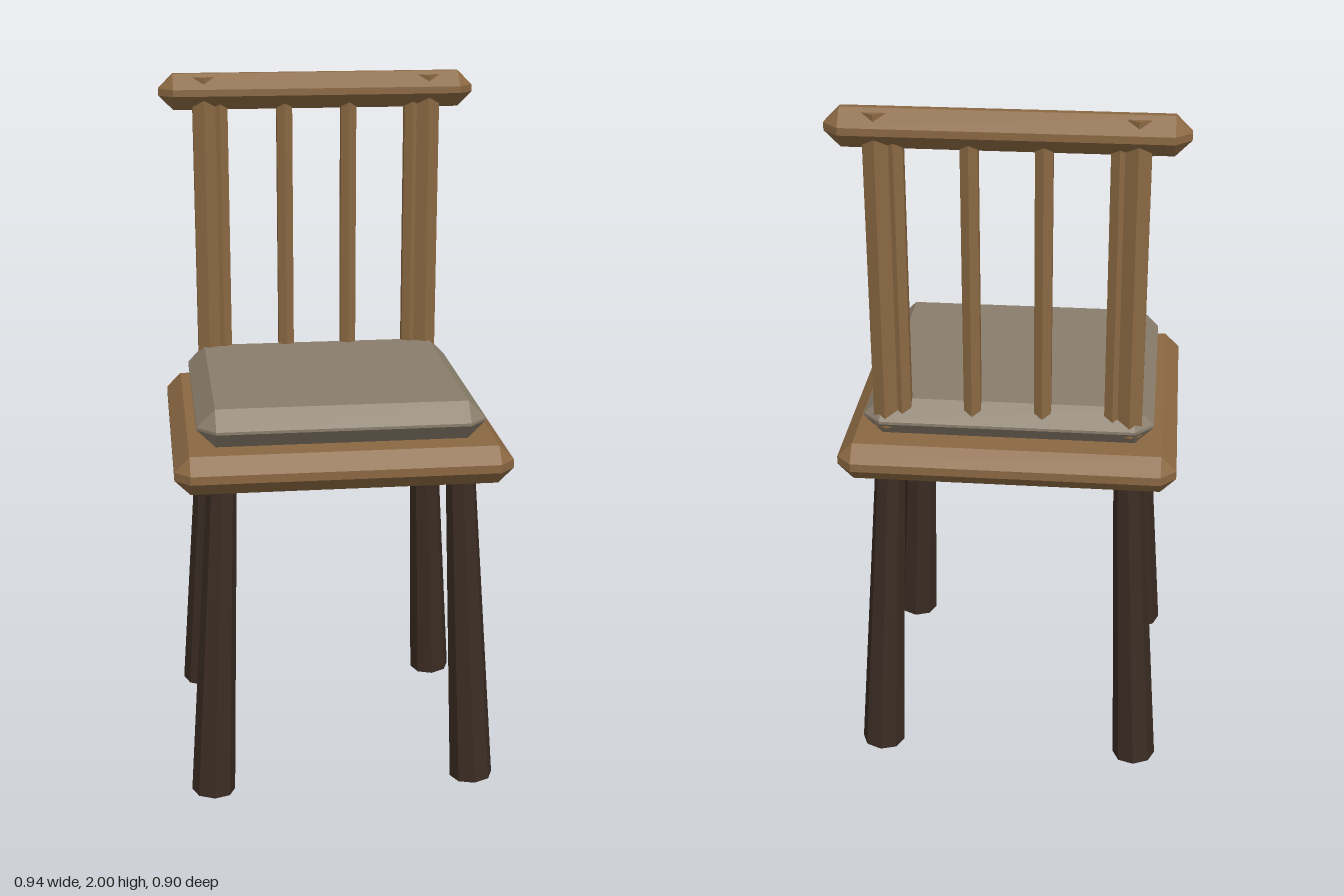
import * as THREE from 'three';
import { ConvexGeometry } from 'three/addons/geometries/ConvexGeometry.js';

const mat = (color) => new THREE.MeshStandardMaterial({ color, flatShading: true });

// Box with every edge chamfered by c
function chamferBox(w, h, d, c) {
  const half = [w / 2, h / 2, d / 2];
  const points = [];
  for (let axis = 0; axis < 3; axis++) {
    for (const sx of [-1, 1]) for (const sy of [-1, 1]) for (const sz of [-1, 1]) {
      const p = half.map((v, i) => (i === axis ? v : v - c));
      points.push(new THREE.Vector3(sx * p[0], sy * p[1], sz * p[2]));
    }
  }
  return new ConvexGeometry(points);
}

export function createModel() {
  const wood = mat(0x8b6842);
  const darkWood = mat(0x3a2c23);
  const fabric = mat(0x8a7e6c);
  const group = new THREE.Group();

  const add = (name, geometry, material, x, y, z) => {
    const mesh = new THREE.Mesh(geometry, material);
    mesh.name = name;
    mesh.position.set(x, y, z);
    group.add(mesh);
    return mesh;
  };

  // Seat slab and cushion
  add('seat', chamferBox(0.944, 0.11, 0.896, 0.043), wood, 0, 1, 0);
  add('cushion', chamferBox(0.81, 0.11, 0.764, 0.051), fabric, 0, 1.11, 0);

  // Tapered legs, splayed outward
  const up = new THREE.Vector3(0, 1, 0);
  for (const sx of [-1, 1]) for (const sz of [-1, 1]) {
    const foot = new THREE.Vector3(sx * 0.384, 0.005, sz * 0.364);
    const top = new THREE.Vector3(sx * 0.338, 0.97, sz * 0.315);
    const axis = top.clone().sub(foot);
    const mid = foot.clone().add(top).multiplyScalar(0.5);
    const name = (sz > 0 ? 'front' : 'back') + (sx > 0 ? 'Left' : 'Right') + 'Leg';
    const leg = add(name, new THREE.CylinderGeometry(0.042, 0.063, axis.length(), 8),
      darkWood, mid.x, mid.y, mid.z);
    leg.quaternion.setFromUnitVectors(up, axis.normalize());
  }

  // Backrest: top rail, corner posts reaching through it, and thin spindles
  const backZ = -0.337;
  add('topRail', chamferBox(0.944, 0.106, 0.106, 0.043), wood, 0, 1.947, backZ);
  for (const sx of [-1, 1]) {
    add(sx > 0 ? 'leftPost' : 'rightPost',
      new THREE.CylinderGeometry(0.039, 0.039, 0.9, 6), wood, sx * 0.338, 1.54, backZ);
  }
  for (let i = 0; i < 4; i++) {
    add('spindle' + (i + 1),
      new THREE.CylinderGeometry(0.027, 0.027, 0.84, 6), wood, -0.291 + i * 0.194, 1.51, backZ);
  }

  return group;
}
